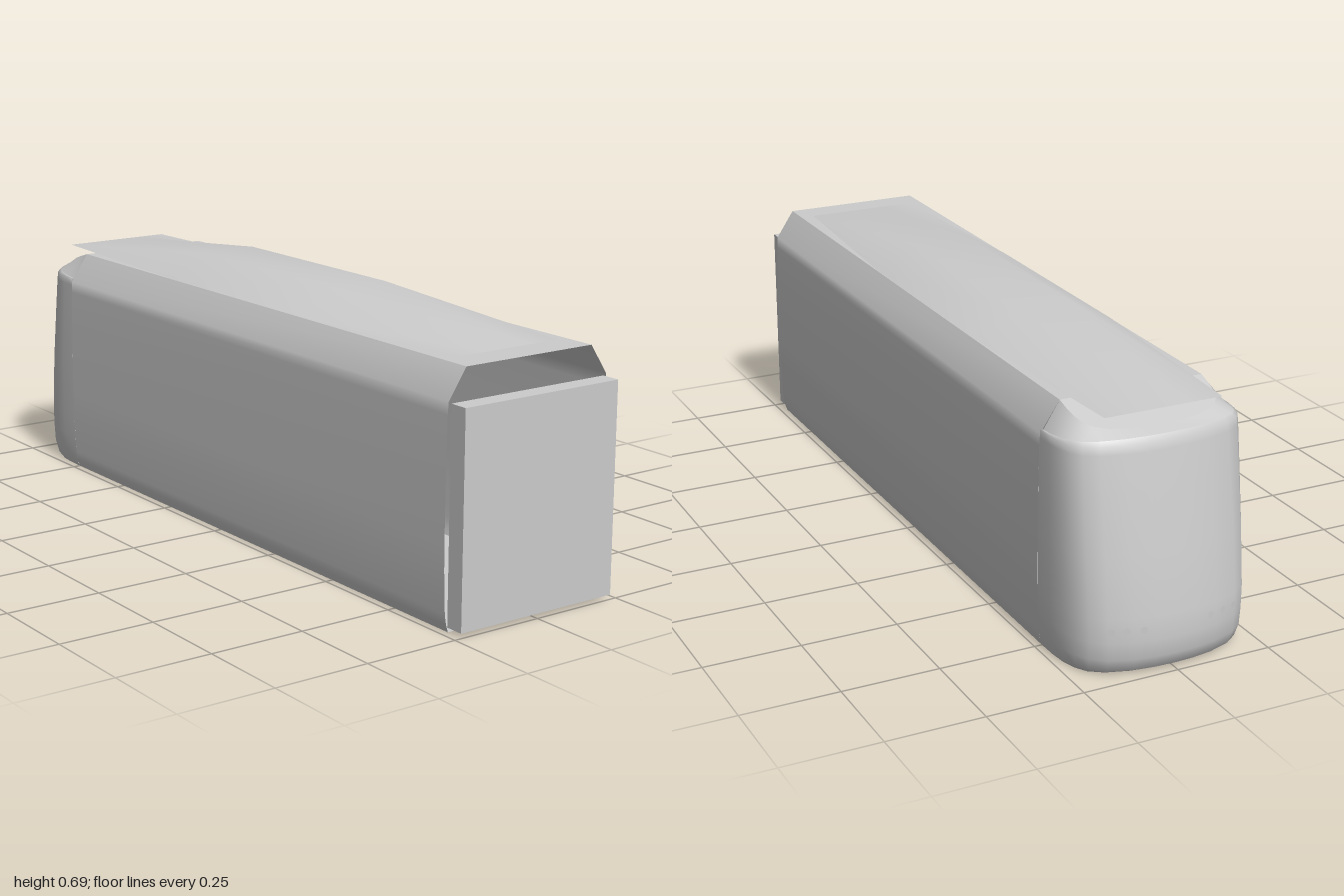
import * as THREE from 'three';

const shell = new THREE.MeshStandardMaterial({ color: 0xcccccc, side: THREE.DoubleSide });
shell.name = 'plain grey';

// Surface through rows of [x, y, z] points, smooth inside one surface
function loft(name, rows) {
  const n = rows[0].length, index = [];
  for (let i = 0; i < rows.length - 1; i++) {
    for (let j = 0; j < n - 1; j++) {
      const a = i * n + j, b = a + 1, c = a + n, d = c + 1;
      index.push(a, b, c, b, d, c);
    }
  }
  const g = new THREE.BufferGeometry();
  g.setAttribute('position', new THREE.Float32BufferAttribute(rows.flat(2), 3));
  g.setIndex(index);
  g.computeVertexNormals();
  const m = new THREE.Mesh(g, shell);
  m.name = name;
  return m;
}

const FRONT = 0.95, JOIN = -0.75;

// Half section of the carriage side: [half width, height]
const side = [[0.23, 0], [0.236, 0.02], [0.24, 0.045], [0.244, 0.15], [0.245, 0.22],
  [0.244, 0.4], [0.242, 0.52], [0.24, 0.55], [0.19, 0.625]];

// Plan of the nose as fractions of half width and length, mirrored
const half = [[1, 0], [0.995, 0.25], [0.975, 0.45], [0.93, 0.62], [0.85, 0.76],
  [0.7, 0.87], [0.45, 0.955], [0.22, 0.99], [0, 1]];
const plan = [...half, ...half.slice(0, -1).reverse().map(([u, v]) => [-u, v])];

// Levels of the nose: [height, half width, length]
const levels = [[0, 0.23, 0.215], [0.01, 0.234, 0.232], [0.045, 0.24, 0.247], [0.09, 0.242, 0.25],
  [0.15, 0.244, 0.248], [0.3, 0.245, 0.226], [0.45, 0.243, 0.2], [0.54, 0.241, 0.185], [0.56, 0.24, 0.18]];

export function createModel() {
  const car = new THREE.Group();
  car.name = 'railCar';
  const prism = (name, section) =>
    loft(name, [JOIN, FRONT].map(z => section.map(([x, y]) => [x, y, z])));

  // Long body, open at the front end
  car.add(prism('leftSide', side));
  car.add(prism('rightSide', side.map(([x, y]) => [-x, y]).reverse()));
  car.add(prism('roof', [[0.19, 0.625], [-0.19, 0.625]]));
  car.add(prism('floor', [[-0.23, 0], [0.23, 0]]));

  // Rounded, raked nose
  const ring = ([y, w, len]) => plan.map(([u, v]) => [u * w, y, JOIN - v * len]);
  const rim = plan.map(([u, v]) => [u * 0.232, 0.558 + 0.015 * v, JOIN - v * 0.172]);
  const brow = plan.map(([u, v]) => [u * 0.19, 0.625 - 0.043 * v, JOIN - v * 0.142]);
  const line = plan.map(([u]) => [u * 0.19, 0.625, JOIN]);
  car.add(loft('nose', [...levels.map(ring), rim]));
  car.add(loft('noseBrow', [rim, brow]));
  car.add(loft('noseTop', [brow, line]));
  car.add(loft('noseFloor', [plan.map(([u]) => [u * 0.23, 0, JOIN]), ring(levels[0])]));

  // Low hump on the roof, tapering flat at both ends
  const end = z => [0.155, 0.065, -0.065, -0.155].map(x => [x, 0.627, z]);
  const mid = z => [[0.19, 0.626, z], [0.08, 0.685, z], [-0.08, 0.685, z], [-0.19, 0.626, z]];
  car.add(loft('roofHump', [end(-0.9), mid(-0.3), mid(0.3), end(0.87)]));

  // Gangway block at the front end
  const block = new THREE.Mesh(new THREE.BoxGeometry(0.464, 0.533, 0.05), shell);
  block.name = 'gangway';
  block.position.set(0, 0.2785, 0.975);
  car.add(block);

  // Small round lamps low on the nose
  const lens = new THREE.CircleGeometry(0.009, 12);
  for (const s of [-1, 1]) {
    for (const [x, z, turn] of [[0.09, -0.99, 0.2], [0.13, -0.979, 0.33], [0.165, -0.968, 0.45]]) {
      const lamp = new THREE.Mesh(lens, shell);
      lamp.name = 'lamp';
      lamp.position.set(s * x, 0.12, z - 0.002);
      lamp.rotation.y = Math.PI - s * turn;
      car.add(lamp);
    }
  }
  return car;
}
